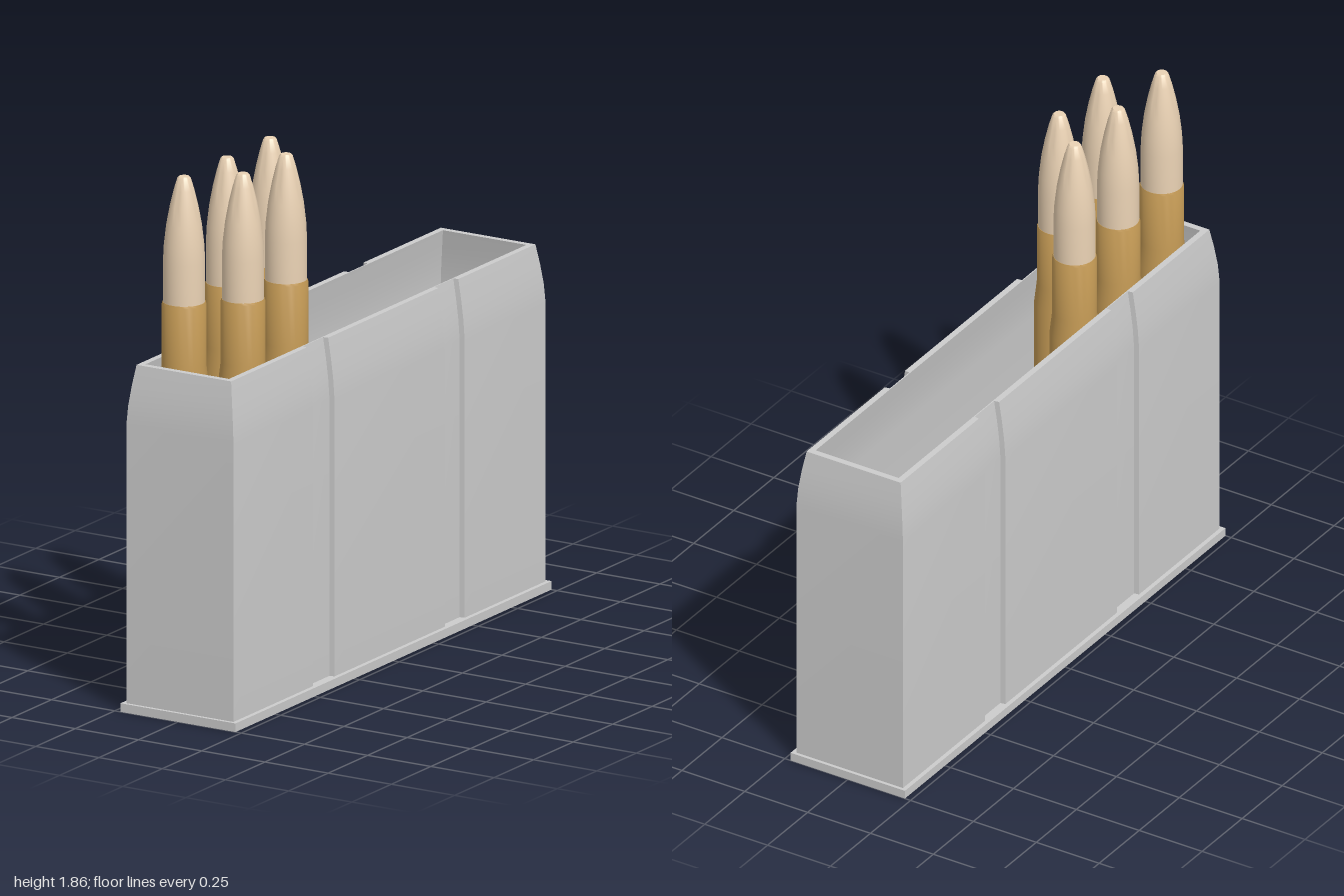
import * as THREE from 'three';
import { toCreasedNormals } from 'three/addons/utils/BufferGeometryUtils.js';

const WALL = 0.022;
const GROOVE = 0.018;

// Horizontal outline, counter-clockwise from above, with two grooves per long side
function ring(hx, y, hz, depth) {
  const side = [
    [hx, hz], [hx, 0.485], [hx - depth, 0.482], [hx - depth, 0.352], [hx, 0.349],
    [hx, -0.349], [hx - depth, -0.352], [hx - depth, -0.472], [hx, -0.475], [hx, -hz],
  ];
  const other = side.map(([x, z]) => [-x, z]).reverse();
  return [...side, ...other].map(([x, z]) => [x, y, z]);
}

// Skin consecutive rings with quads
function loft(rings) {
  const n = rings[0].length;
  const pos = [];
  for (let j = 0; j < rings.length - 1; j++) {
    for (let i = 0; i < n; i++) {
      const k = (i + 1) % n;
      const a = rings[j][i], b = rings[j][k], c = rings[j + 1][k], d = rings[j + 1][i];
      pos.push(...a, ...b, ...c, ...a, ...c, ...d);
    }
  }
  const g = new THREE.BufferGeometry();
  g.setAttribute('position', new THREE.Float32BufferAttribute(pos, 3));
  return toCreasedNormals(g, 0.5);
}

function lathe(points) {
  const g = new THREE.LatheGeometry(points.map(([r, y]) => new THREE.Vector2(r, y)), 32);
  return toCreasedNormals(g, 0.5);
}

export function createModel() {
  const model = new THREE.Group();
  model.name = 'loadedBox';
  const grey = new THREE.MeshStandardMaterial({ color: 0xcccccc });
  const brass = new THREE.MeshStandardMaterial({ color: 0xc49a55 });
  const copper = new THREE.MeshStandardMaterial({ color: 0xead2b4 });

  const add = (parent, name, geometry, material) => {
    const mesh = new THREE.Mesh(geometry, material);
    mesh.name = name;
    parent.add(mesh);
    return mesh;
  };

  // Base plate, which also closes the bottom of the box
  add(model, 'basePlate', new THREE.BoxGeometry(0.455, 0.03, 2), grey).position.y = 0.015;

  // Open-topped box: outside going up, over the rim, inside going down
  const levels = [
    [0.212, 0.03, 0.988], [0.212, 1.0, 0.988], [0.207, 1.07, 0.984],
    [0.198, 1.14, 0.975], [0.187, 1.21, 0.963],
  ];
  const outer = levels.map(([x, y, z]) => ring(x, y, z, GROOVE));
  const inner = levels.map(([x, y, z]) => ring(x - WALL, y, z - WALL, 0)).reverse();
  add(model, 'boxShell', loft([...outer, ...inner]), grey);

  // Cartridge profiles: casing with shoulder and neck, then pointed tip
  const casing = lathe([
    [0, 0.035], [0.08, 0.035], [0.085, 0.045], [0.085, 0.075], [0.074, 0.085], [0.074, 0.11],
    [0.085, 0.13], [0.084, 1.12], [0.075, 1.2], [0.075, 1.412], [0.072, 1.42], [0.068, 1.42],
  ]);
  const tip = lathe([
    [0.071, 1.41], [0.071, 1.56], [0.068, 1.62], [0.06, 1.69], [0.048, 1.755],
    [0.035, 1.81], [0.023, 1.85], [0.018, 1.856], [0, 1.856],
  ]);

  // Five cartridges in a staggered double row at the front
  for (let i = 0; i < 5; i++) {
    const cartridge = new THREE.Group();
    cartridge.name = `cartridge${i + 1}`;
    add(cartridge, 'casing', casing, brass);
    add(cartridge, 'tip', tip, copper);
    cartridge.position.set(i % 2 ? 0.072 : -0.076, 0, 0.84 - i * 0.136);
    model.add(cartridge);
  }
  return model;
}
